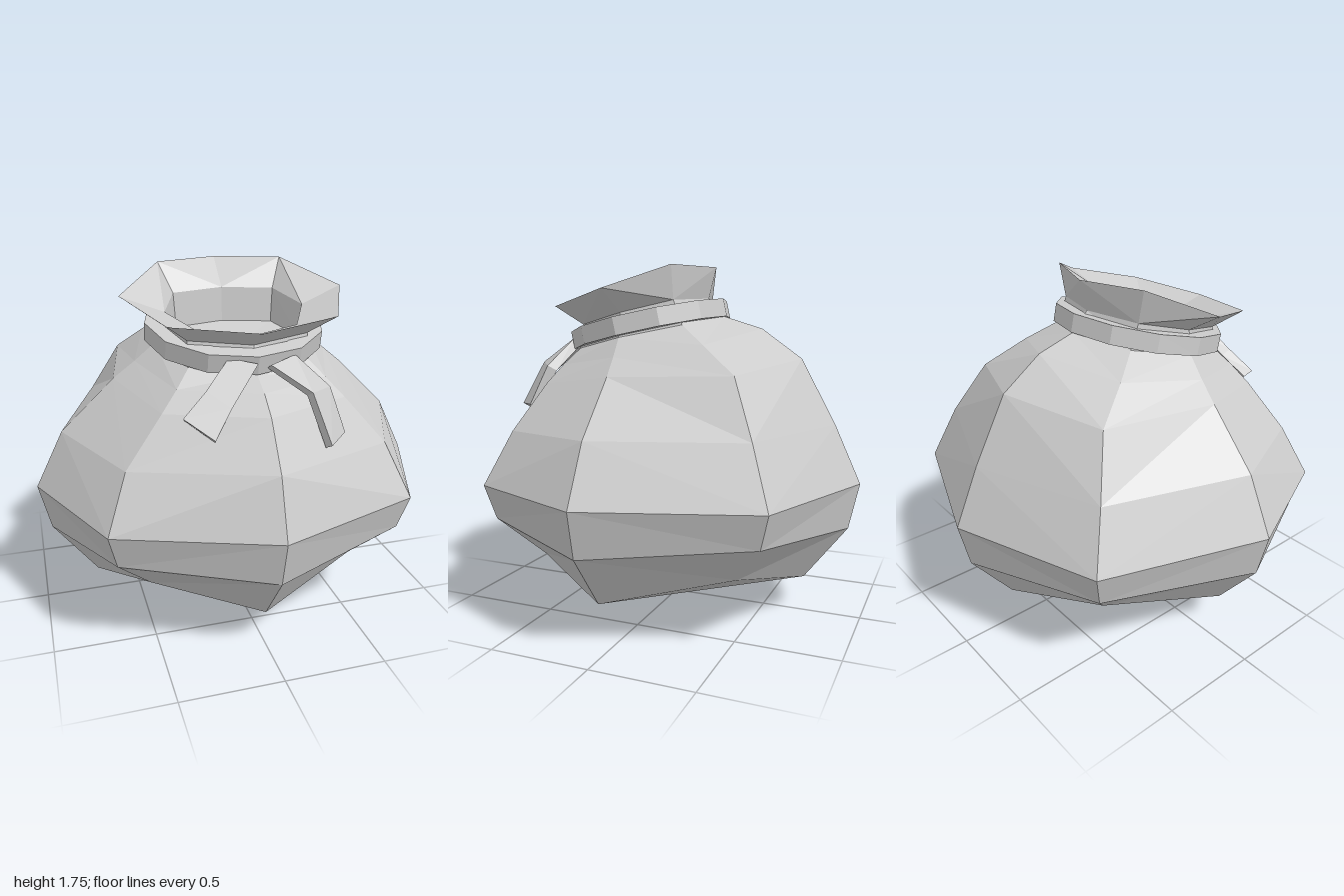
import * as THREE from 'three';

const material = new THREE.MeshStandardMaterial({ color: 0xcccccc, flatShading: true, side: THREE.DoubleSide });

// Eight-sided mirrored ring: front, front diagonal, side, back diagonal, back.
// Centre points are [y, z], the others are [x, y, z].
function ring(front, frontDiag, side, backDiag, back) {
  const mirror = ([x, y, z]) => [-x, y, z];
  return [[0, ...front], frontDiag, side, backDiag, [0, ...back],
    mirror(backDiag), mirror(side), mirror(frontDiag)];
}

// Triangles between successive closed rings
function skin(rings) {
  const tris = [];
  for (let r = 0; r < rings.length - 1; r++) {
    const a = rings[r], b = rings[r + 1], n = a.length;
    for (let i = 0; i < n; i++) {
      const j = (i + 1) % n;
      if (i % 2) tris.push(a[i], a[j], b[j], a[i], b[j], b[i]);
      else tris.push(a[i], a[j], b[i], a[j], b[j], b[i]);
    }
  }
  return tris;
}

function meshFrom(name, tris) {
  const geometry = new THREE.BufferGeometry();
  geometry.setAttribute('position', new THREE.Float32BufferAttribute(tris.flat(), 3));
  geometry.computeVertexNormals();
  const mesh = new THREE.Mesh(geometry, material);
  mesh.name = name;
  return mesh;
}

// Flat strap through pairs of edge points, thickened towards the sack
function ribbon(name, pairs) {
  const inset = ([x, y, z]) => [x * 0.96, y - 0.025, z - 0.045];
  const sections = pairs.map(([p, q]) => [p, q, inset(q), inset(p)]);
  const tris = skin(sections);
  const [a, b, c, d] = sections[sections.length - 1];
  tris.push(a, b, c, a, c, d);
  return meshFrom(name, tris);
}

export function createModel() {
  const group = new THREE.Group();
  group.name = 'sack';

  // Sack body, from the bottom up to the throat
  const throat = ring([1.44, 0.47], [0.29, 1.46, 0.39], [0.37, 1.52, 0.14], [0.28, 1.58, -0.1], [1.59, -0.18]);
  const body = [
    ring([0.18, 0.715], [0.52, 0.31, 0.505], [0.73, 0.18, 0.09], [0.52, 0.31, -0.515], [0.18, -0.71]),
    ring([0.46, 0.92], [0.69, 0.52, 0.67], [0.945, 0.46, 0.09], [0.69, 0.52, -0.67], [0.46, -0.925]),
    ring([0.69, 0.975], [0.73, 0.69, 0.71], [1, 0.69, 0.085], [0.73, 0.69, -0.715], [0.69, -0.975]),
    ring([0.97, 0.875], [0.625, 0.95, 0.605], [0.86, 0.97, 0.085], [0.63, 0.97, -0.61], [0.975, -0.845]),
    ring([1.18, 0.73], [0.44, 1.17, 0.52], [0.595, 1.225, 0.1], [0.49, 1.24, -0.48], [1.295, -0.67]),
    ring([1.26, 0.63], [0.36, 1.26, 0.47], [0.49, 1.31, 0.12], [0.38, 1.37, -0.29], [1.44, -0.465]),
    ring([1.32, 0.52], [0.29, 1.34, 0.41], [0.39, 1.4, 0.14], [0.28, 1.46, -0.145], [1.5, -0.265]),
    throat,
  ];
  const bodyTris = skin(body);
  const base = body[0], pole = [0, 0, 0.09];
  for (let i = 0; i < 8; i += 2) {
    const j = (i + 2) % 8;
    bodyTris.push(pole, base[j], base[i], base[i], base[j], base[i + 1]);
  }
  group.add(meshFrom('sackBody', bodyTris));

  // Flared mouth, folding over the rim into a hollow with a closed floor
  const mouth = [
    throat,
    ring([1.52, 0.595], [0.4, 1.55, 0.485], [0.555, 1.63, 0.145], [0.32, 1.745, -0.105], [1.745, -0.22]),
    ring([1.48, 0.455], [0.24, 1.5, 0.38], [0.345, 1.55, 0.17], [0.26, 1.6, -0.03], [1.61, -0.07]),
    ring([1.34, 0.44], [0.23, 1.36, 0.37], [0.33, 1.39, 0.17], [0.25, 1.43, -0.02], [1.44, -0.06]),
  ];
  const mouthTris = skin(mouth);
  const floor = mouth[3];
  floor.forEach((p, i) => mouthTris.push([0, 1.37, 0.19], p, floor[(i + 1) % 8]));
  group.add(meshFrom('flaredMouth', mouthTris));

  // Twelve-sided cord band, tilted forward round the neck
  const profile = [[0.35, -0.045], [0.44, -0.045], [0.44, 0.045], [0.35, 0.045], [0.35, -0.045]]
    .map(([x, y]) => new THREE.Vector2(x, y));
  const band = new THREE.Mesh(new THREE.LatheGeometry(profile, 12), material);
  band.name = 'neckBand';
  band.scale.z = 0.95;
  band.rotation.x = 0.22;
  band.position.set(0, 1.455, 0.14);
  group.add(band);

  // Loose cord ends hanging at the front
  group.add(ribbon('leftCordEnd', [
    [[0.05, 1.37, 0.57], [0.19, 1.39, 0.5]],
    [[0.21, 1.26, 0.68], [0.335, 1.25, 0.58]],
    [[0.27, 1.04, 0.78], [0.385, 1.05, 0.66]],
  ]));
  group.add(ribbon('rightCordEnd', [
    [[-0.13, 1.4, 0.51], [-0.01, 1.38, 0.57]],
    [[-0.25, 1.28, 0.58], [-0.16, 1.22, 0.67]],
    [[-0.37, 1.18, 0.635], [-0.25, 1.1, 0.73]],
  ]).rotateY(0));

  return group;
}
